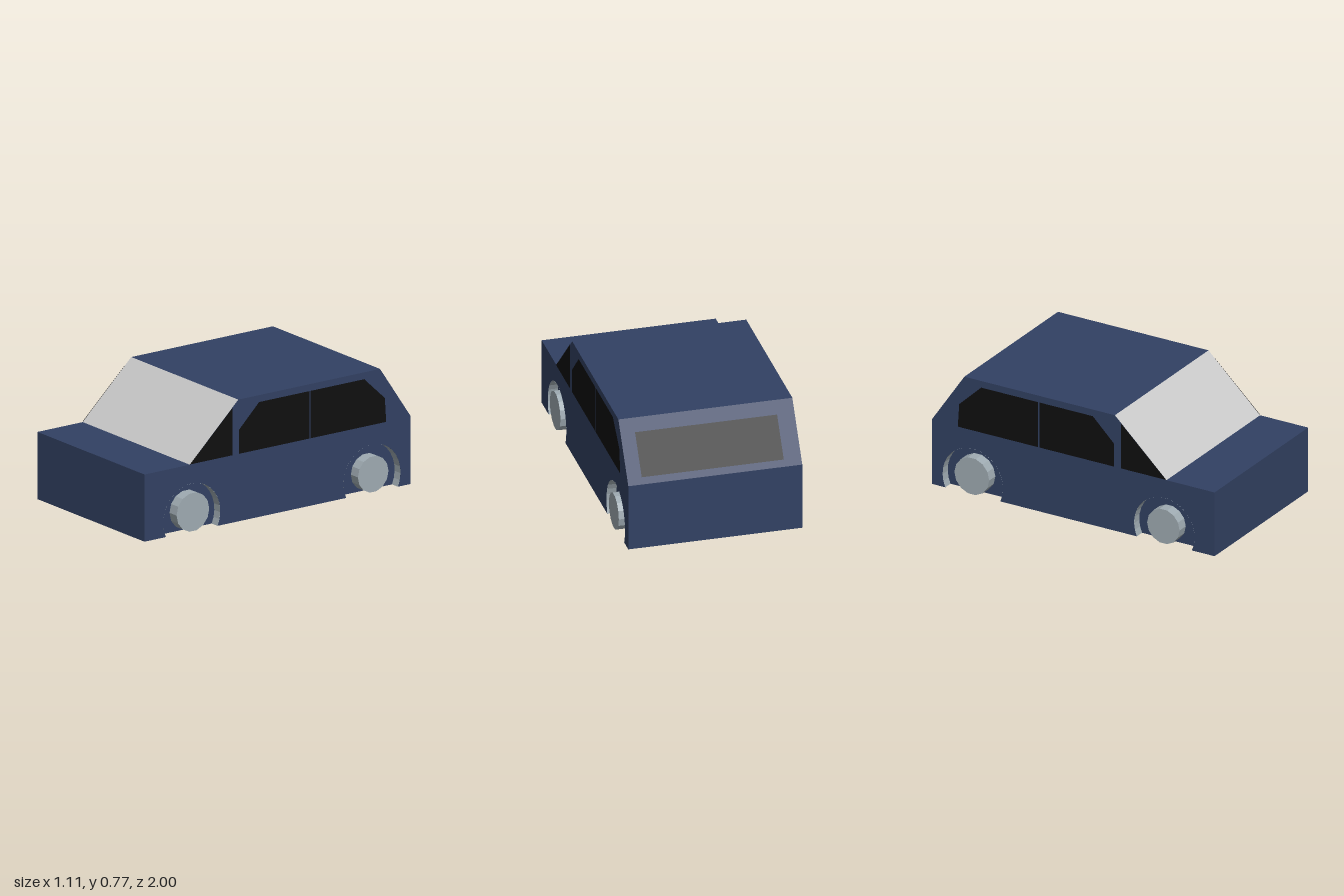
import * as THREE from 'three';

const mat = (color) => new THREE.MeshStandardMaterial({ color, side: THREE.DoubleSide });
const paint = mat(0x324163), glass = mat(0x0f0f0f), metal = mat(0x9fabb2), grey = mat(0xcccccc);

const HALF = 0.545, WELL_X = 0.485;            // outer side and back wall of the wheel wells
const WELL_Y = 0.09, WELL_R = 0.214;
const HALF_CHORD = Math.sqrt(WELL_R ** 2 - WELL_Y ** 2);
const DIP = Math.asin(WELL_Y / WELL_R);        // how far the arch runs below its centre
const WELLS = [-0.71, 0.645];

// Flat-faced surface swept across x along a (z, y) path
function strip(points, x0, x1) {
  const pos = [];
  for (let i = 0; i < points.length - 1; i++) {
    const [az, ay] = points[i], [bz, by] = points[i + 1];
    pos.push(x0, ay, az, x1, ay, az, x1, by, bz, x0, ay, az, x1, by, bz, x0, by, bz);
  }
  const g = new THREE.BufferGeometry();
  g.setAttribute('position', new THREE.Float32BufferAttribute(pos, 3));
  g.computeVertexNormals();
  return g;
}

// Flat panel lying in a plane of constant x, from a (z, y) shape
function sidePanel(shape, x) {
  return new THREE.ShapeGeometry(shape, 20).rotateY(-Math.PI / 2).translate(x, 0, 0);
}

const polygon = (pts) => new THREE.Shape(pts.map(([z, y]) => new THREE.Vector2(z, y)));

export function createModel() {
  const car = new THREE.Group();
  car.name = 'car';
  const add = (name, geometry, material) => {
    const m = new THREE.Mesh(geometry, material);
    m.name = name;
    car.add(m);
    return m;
  };

  // Body skin across the width
  const noseBottom = [1, 0], noseTop = [1, 0.425], cowl = [0.66, 0.425], roofFront = [0.295, 0.77];
  const roofRear = [-0.77, 0.77], tailTop = [-1, 0.43], tailBottom = [-1, 0];
  add('noseAndHood', strip([noseBottom, noseTop, cowl], -HALF, HALF), paint);
  add('windshield', strip([cowl, roofFront], -HALF, HALF), grey);
  add('roofAndTail', strip([roofFront, roofRear, tailTop, tailBottom], -HALF, HALF), paint);

  // Rear window, just proud of the sloping tail
  add('rearWindow', strip([[-0.823, 0.697], [-0.978, 0.468]], -0.435, 0.455), glass);

  // Side outline with wheel arches cut from the lower edge
  const side = new THREE.Shape();
  side.moveTo(...tailBottom);
  for (const z of WELLS) {
    side.lineTo(z - HALF_CHORD, 0);
    side.absarc(z, WELL_Y, WELL_R, Math.PI + DIP, -DIP, true);
  }
  for (const p of [noseBottom, noseTop, cowl, roofFront, roofRear, tailTop]) side.lineTo(...p);
  side.closePath();

  const windows = {
    quarterWindow: [[0.66, 0.427], [0.34, 0.427], [0.34, 0.727]],
    frontDoorWindow: [[0.29, 0.427], [0.29, 0.58], [0.14, 0.727], [-0.238, 0.727], [-0.238, 0.427]],
    rearDoorWindow: [[-0.248, 0.427], [-0.248, 0.727], [-0.65, 0.727], [-0.805, 0.58], [-0.815, 0.427]],
  };

  // Floor between the wells
  add('floor', strip([[-1, 0], [1, 0]], -WELL_X, WELL_X), metal);

  for (const s of [1, -1]) {
    add('sidePanel', sidePanel(side, s * HALF), paint);
    for (const [name, pts] of Object.entries(windows)) {
      add(name, sidePanel(polygon(pts), s * (HALF + 0.002)), glass);
    }
    // Sill pieces of the floor on either side of each well
    const stops = [-1, ...WELLS.flatMap((z) => [z - HALF_CHORD, z + HALF_CHORD]), 1];
    for (let i = 0; i < stops.length; i += 2) {
      add('floorSill', strip([[stops[i], 0], [stops[i + 1], 0]], s * WELL_X, s * HALF), metal);
    }
    WELLS.forEach((z, i) => {
      // Recessed wheel well: back wall and arched lining
      const arc = new THREE.EllipseCurve(z, WELL_Y, WELL_R, WELL_R, Math.PI + DIP, -DIP, true)
        .getPoints(20);
      add('wellBack', sidePanel(new THREE.Shape(arc), s * WELL_X), paint);
      add('wellLining', strip(arc.map((p) => [p.x, p.y]), s * WELL_X, s * HALF), metal);

      // Wheel: opposite corners differ slightly in size
      const r = (i === 1) === (s === 1) ? 0.123 : 0.115;
      const outer = 0.557, width = outer - WELL_X;
      const tyre = new THREE.CylinderGeometry(r, r, width, 14).toNonIndexed();
      tyre.computeVertexNormals();
      const wheel = add('wheel', tyre, metal);
      wheel.rotation.z = Math.PI / 2;
      wheel.position.set(s * (outer - width / 2), r + 0.003, z);
    });
  }
  return car;
}
